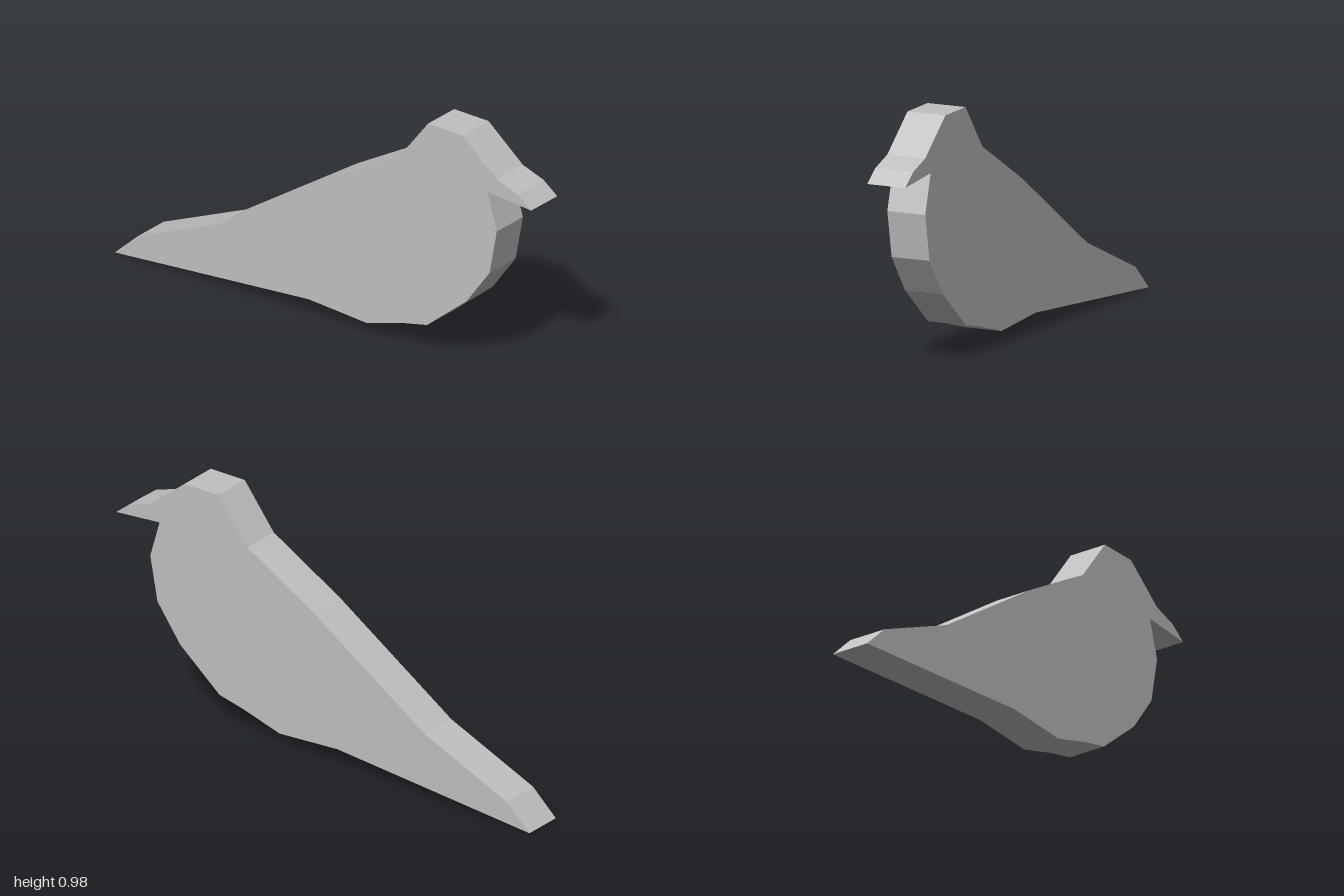
import * as THREE from 'three';

export function createModel() {
  const group = new THREE.Group();
  group.name = 'birdCutout';

  const grey = new THREE.MeshStandardMaterial({ color: 0xc0c0c0 });
  grey.name = 'plain grey';

  // Side outline of the perched bird, anticlockwise from the tail tip
  const outline = [
    [-1, 0], [-0.07, 0.07], [0.21, 0.05],               // tail underside and belly
    [0.385, 0.1], [0.5, 0.125], [0.69, 0.28],
    [0.8, 0.43], [0.835, 0.615], [0.79, 0.77],          // breast and throat
    [1, 0.75], [0.935, 0.8], [0.835, 0.835],            // beak
    [0.67, 0.972], [0.505, 0.975], [0.365, 0.795],      // crown and nape
    [0.265, 0.74], [0.035, 0.61], [-0.495, 0.265],      // back
    [-0.89, 0.1],                                       // tail top
  ].map(([x, y]) => new THREE.Vector2(x, y));

  // Flat slab cut to the outline, centred in depth
  const depth = 0.163;
  const geometry = new THREE.ExtrudeGeometry(new THREE.Shape(outline), {
    depth, steps: 1, bevelEnabled: false,
  });
  geometry.translate(0, 0, -depth / 2);

  const bird = new THREE.Mesh(geometry, grey);
  bird.name = 'birdBody';
  group.add(bird);
  return group;
}
